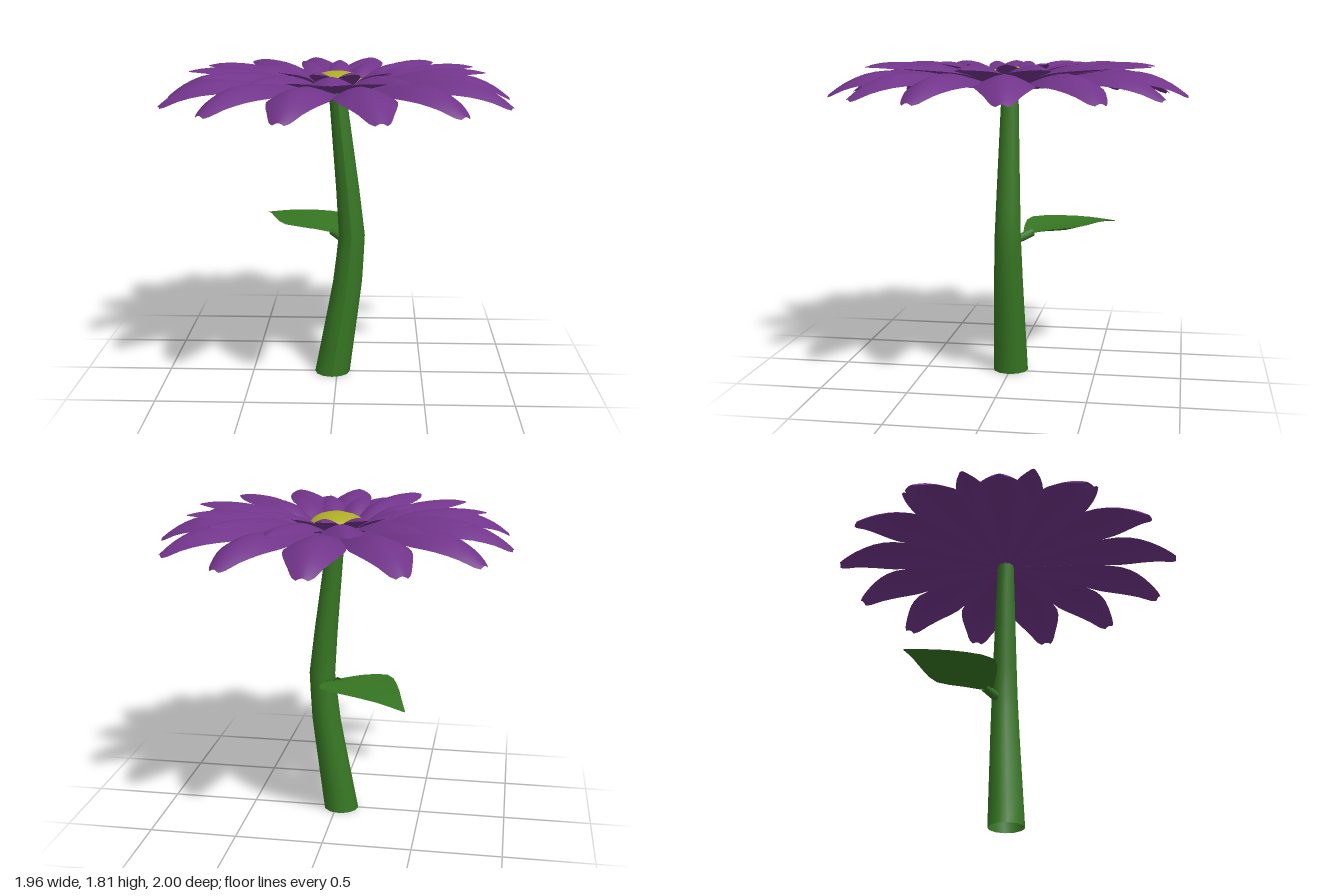
import * as THREE from 'three';

// Piecewise-linear lookup in [[key, value], ...]
function lookup(points, k) {
  for (let i = 1; i < points.length; i++) {
    const [k0, v0] = points[i - 1], [k1, v1] = points[i];
    if (k <= k1 || i === points.length - 1) return v0 + (v1 - v0) * (k - k0) / (k1 - k0);
  }
}

// Curved blade running towards -z; rows are [distance, height, half width],
// arch is how far the edges sink relative to the half width
function bladeGeometry(rows, arch, columns) {
  const curve = new THREE.CatmullRomCurve3(rows.map(r => new THREE.Vector3(...r)), false, 'centripetal');
  const steps = (rows.length - 1) * 2;
  const positions = [], index = [];
  for (let i = 0; i <= steps; i++) {
    const p = curve.getPoint(i / steps);
    const half = Math.max(p.z, 0.002);
    for (let j = 0; j <= columns; j++) {
      const v = (j / columns) * 2 - 1;
      positions.push(v * half, p.y - arch * half * Math.abs(v) ** 1.6, -p.x);
      if (i < steps && j < columns) {
        const a = i * (columns + 1) + j, c = a + columns + 1;
        index.push(a, a + 1, c, a + 1, c + 1, c);
      }
    }
  }
  const g = new THREE.BufferGeometry();
  g.setAttribute('position', new THREE.Float32BufferAttribute(positions, 3));
  g.setIndex(index);
  g.computeVertexNormals();
  return g;
}

export function createModel() {
  const model = new THREE.Group();
  model.name = 'flower';
  const purple = new THREE.MeshStandardMaterial({ color: 0x71348a, side: THREE.DoubleSide });
  purple.name = 'petalPurple';
  const green = new THREE.MeshStandardMaterial({ color: 0x367622, side: THREE.DoubleSide });
  green.name = 'stemGreen';
  const yellow = new THREE.MeshStandardMaterial({ color: 0xadad24 });
  yellow.name = 'centreYellow';

  const add = (geometry, material, name, parent = model) => {
    const mesh = new THREE.Mesh(geometry, material);
    mesh.name = name;
    parent.add(mesh);
    return mesh;
  };

  // Three rings of thirteen petals; lengths run from the back petal to the front
  const even = [1, 1, 1, 1, 1, 1, 1];
  const rings = [
    { name: 'outerPetal', phase: 0, arch: 0.42, lengths: [1, 0.995, 1.02, 0.985, 1.01, 1, 1.025], rows: [
      [0.02, 1.655, 0.012], [0.3, 1.71, 0.08], [0.5, 1.75, 0.128], [0.68, 1.765, 0.158],
      [0.8, 1.745, 0.135], [0.91, 1.695, 0.088], [0.975, 1.65, 0.055], [1.0, 1.63, 0.03]] },
    { name: 'middlePetal', phase: 15, arch: 0.38, lengths: even, rows: [
      [0.04, 1.665, 0.015], [0.2, 1.715, 0.05], [0.38, 1.778, 0.092], [0.53, 1.805, 0.107],
      [0.66, 1.81, 0.09], [0.76, 1.803, 0.052], [0.825, 1.79, 0.01]] },
    { name: 'innerPetal', phase: 0, arch: 0.38, lengths: [1.06, 1, 1, 0.97, 0.97, 0.97, 0.97], rows: [
      [0.08, 1.68, 0.02], [0.16, 1.712, 0.035], [0.24, 1.765, 0.056], [0.31, 1.797, 0.063],
      [0.39, 1.811, 0.045], [0.46, 1.808, 0.006]] },
  ];
  const count = 13;
  for (const { name, phase, arch, lengths, rows } of rings) {
    const geometry = bladeGeometry(rows, arch, 6);
    const ring = new THREE.Group();
    ring.name = name + 'Ring';
    for (let i = 0; i < count; i++) {
      const petal = add(geometry, purple, name, ring);
      petal.rotation.y = -THREE.MathUtils.degToRad(phase) - (i / count) * Math.PI * 2;
      petal.scale.z = lengths[Math.min(i, count - i)];
    }
    model.add(ring);
  }

  // Flower centre: shallow dome
  const dome = new THREE.SphereGeometry(0.165, 8, 5, Math.PI / 8, Math.PI * 2, 0, Math.PI / 2);
  dome.scale(1, 0.5, 1);
  add(dome, yellow, 'flowerCentre').position.set(0, 1.705, -0.01);

  // Bent, tapering stem
  const bend = [[0, -0.028], [0.3, 0.02], [0.55, 0.06], [0.83, 0.086], [1.1, 0.062], [1.68, 0]];
  const height = 1.68;
  const stem = new THREE.CylinderGeometry(0.048, 0.103, height, 12, 12, true);
  stem.translate(0, height / 2, 0);
  const p = stem.attributes.position;
  for (let i = 0; i < p.count; i++) p.setX(i, p.getX(i) + lookup(bend, p.getY(i)));
  stem.computeVertexNormals();
  add(stem, green, 'stem');

  // Side leaf with its stalk, pointing back and to the right
  const leaf = new THREE.Group();
  leaf.name = 'leaf';
  leaf.position.x = 0.085;
  leaf.rotation.y = 0.746;
  const stalkPath = new THREE.CatmullRomCurve3([
    new THREE.Vector3(0, 0.79, -0.02), new THREE.Vector3(0, 0.81, -0.1), new THREE.Vector3(0, 0.832, -0.17)]);
  add(new THREE.TubeGeometry(stalkPath, 6, 0.026, 8), green, 'leafStalk', leaf);
  // Upper and lower skins share their edges; the lower one has a deeper keel
  const leafRows = [
    [0.13, 0.83, 0.03], [0.21, 0.846, 0.13], [0.33, 0.853, 0.228], [0.5, 0.86, 0.17],
    [0.66, 0.857, 0.08], [0.8, 0.84, 0.004]];
  const keel = 0.1;
  add(bladeGeometry(leafRows, -0.11, 4), green, 'leafTop', leaf);
  add(bladeGeometry(leafRows.map(([d, y, w]) => [d, y - keel * w, w]), -0.11 - keel, 4),
    green, 'leafUnderside', leaf);
  model.add(leaf);

  return model;
}
